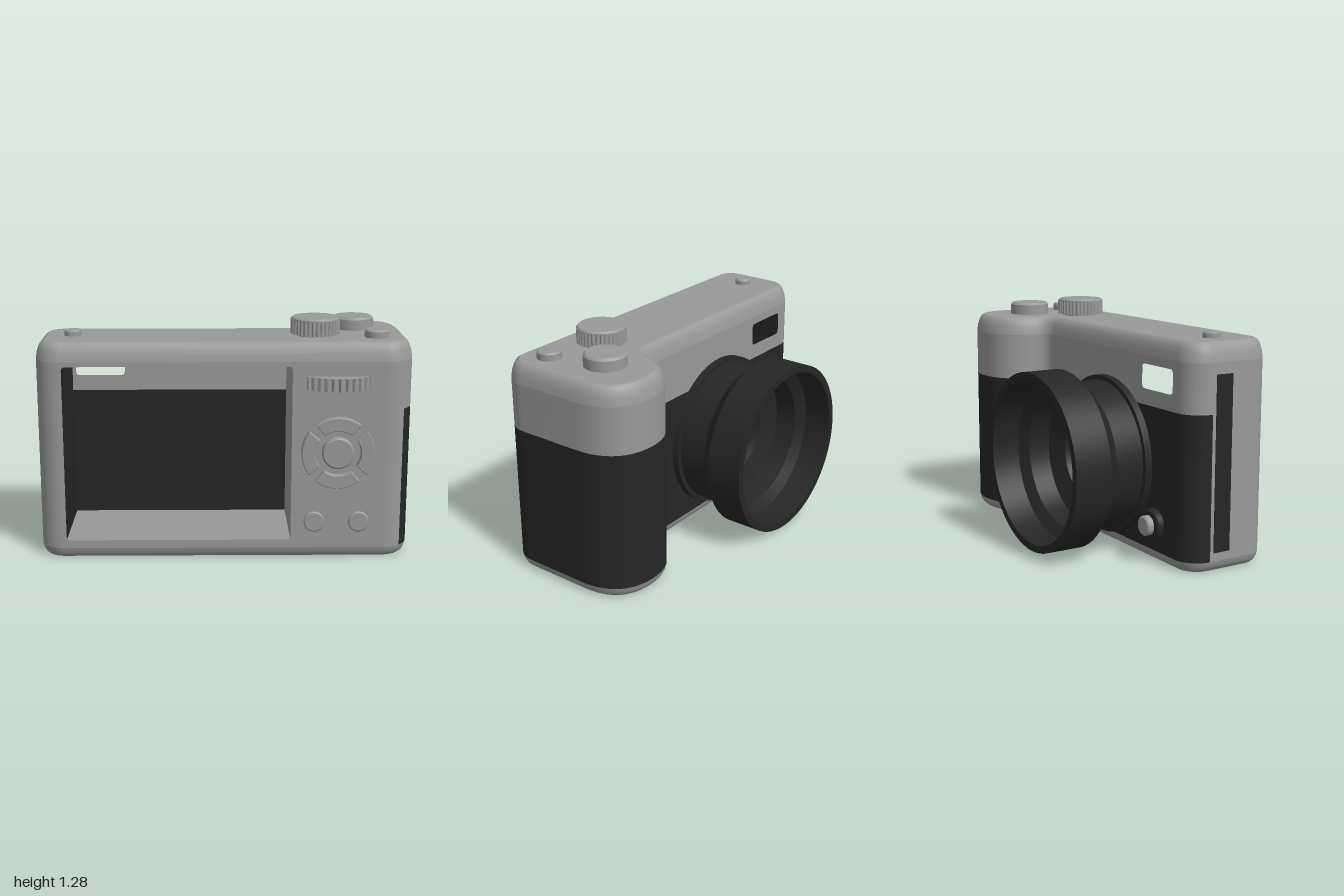
import * as THREE from 'three';
import { toCreasedNormals } from 'three/addons/utils/BufferGeometryUtils.js';

export function createModel() {
  const model = new THREE.Group();
  const mat = (name, color) => {
    const m = new THREE.MeshStandardMaterial({ color, side: THREE.DoubleSide });
    m.name = name;
    return m;
  };
  const silver = mat('silver grey', 0x999999);
  const black = mat('black grip', 0x262626);

  const add = (name, geo, material, x = 0, y = 0, z = 0) => {
    const mesh = new THREE.Mesh(geo, material);
    mesh.name = name;
    mesh.position.set(x, y, z);
    model.add(mesh);
    return mesh;
  };

  // Body outline seen from above, as x and z
  const plan = new THREE.Shape();
  plan.moveTo(0.85, 0.455);
  plan.absarc(0.85, 0.305, 0.15, Math.PI / 2, 0, true);
  plan.lineTo(1, -0.06);
  plan.bezierCurveTo(1, -0.24, 0.9, -0.335, 0.74, -0.335);
  plan.bezierCurveTo(0.57, -0.335, 0.5, -0.24, 0.475, -0.13);
  plan.bezierCurveTo(0.46, -0.08, 0.44, -0.05, 0.38, -0.05);
  plan.lineTo(-0.87, -0.05);
  plan.absarc(-0.87, 0.08, 0.13, -Math.PI / 2, -Math.PI, true);
  plan.lineTo(-1, 0.325);
  plan.absarc(-0.87, 0.325, 0.13, Math.PI, Math.PI / 2, true);
  const pts = plan.getPoints(16);
  const n = pts.length;
  const normals = pts.map((p, i) => {
    const t = pts[(i + 1) % n].clone().sub(pts[(i + n - 1) % n]).normalize();
    return new THREE.Vector2(-t.y, t.x);
  });
  const inset = (i, d) => pts[i % n].clone().addScaledVector(normals[i % n], -d);

  // Wall following the outline from point a to point b, through [y, inset] levels
  const wall = (a, b, levels) => {
    const pos = [], index = [], rows = levels.length;
    for (let i = a; i <= b; i++)
      for (const [y, d] of levels) {
        const p = inset(i, d);
        pos.push(p.x, y, p.y);
      }
    for (let i = 0; i < b - a; i++)
      for (let j = 0; j < rows - 1; j++) {
        const q = i * rows + j, r = q + rows;
        index.push(q, r, r + 1, q, r + 1, q + 1);
      }
    const g = new THREE.BufferGeometry();
    g.setAttribute('position', new THREE.Float32BufferAttribute(pos, 3));
    g.setIndex(index);
    return toCreasedNormals(g, 0.7);
  };
  const near = (x, z) => pts.findIndex(p => Math.hypot(p.x - x, p.y - z) < 0.001);
  const LOW = 0.055, MID = 0.82, HIGH = 1.08;
  const gripStart = pts.findIndex(p => p.y < 0.42);
  const gripEnd = near(0.38, -0.05), flatEnd = near(-0.87, -0.05), sideStart = near(-1, 0.08);

  // Rounded top and bottom edges with their caps
  const topEdge = [[HIGH, 0], [1.12, 0.006], [1.15, 0.016], [1.17, 0.028], [1.18, 0.045]];
  const bottomEdge = [[0, 0.03], [0.012, 0.016], [0.03, 0.006], [LOW, 0]];
  add('topEdge', wall(0, n, topEdge), silver);
  add('bottomEdge', wall(0, n, bottomEdge), silver);
  const cap = (d, s) => new THREE.ShapeGeometry(new THREE.Shape(
    pts.map((p, i) => inset(i, d)).map(p => new THREE.Vector2(p.x, s * p.y)))).rotateX(s * Math.PI / 2);
  add('topCover', cap(0.045, -1), silver, 0, 1.18);
  add('basePlate', cap(0.03, 1), silver);

  // Curved walls: silver upper band, black grip wrap below
  add('upperGripWall', wall(0, gripEnd, [[MID, 0], [HIGH, 0]]), silver);
  add('gripCornerWall', wall(0, gripStart, [[LOW, 0], [MID, 0]]), silver);
  add('gripWrap', wall(gripStart, gripEnd, [[LOW, 0], [MID, 0]]), black);
  add('upperSideWall', wall(flatEnd, n - 1, [[MID, 0], [HIGH, 0]]), silver);
  add('sideWrap', wall(flatEnd, sideStart, [[LOW, 0], [MID, 0]]), black);
  add('sideWall', wall(sideStart, n - 1, [[LOW, 0], [MID, 0]]), silver);
  add('sideSlot', new THREE.BoxGeometry(0.006, 0.92, 0.1), black, -1, 0.56, 0.15);

  // Flat panels with their openings
  const rect = (x0, y0, x1, y1, r, Type = THREE.Shape) => {
    const s = new Type();
    s.moveTo(x0 + r, y0);
    s.lineTo(x1 - r, y0);
    s.quadraticCurveTo(x1, y0, x1, y0 + r);
    s.lineTo(x1, y1 - r);
    s.quadraticCurveTo(x1, y1, x1 - r, y1);
    s.lineTo(x0 + r, y1);
    s.quadraticCurveTo(x0, y1, x0, y1 - r);
    s.lineTo(x0, y0 + r);
    s.quadraticCurveTo(x0, y0, x0 + r, y0);
    return s;
  };
  const face = rect(-0.87, LOW, 0.85, HIGH, 0);
  face.holes.push(rect(-0.855, 0.1, 0.355, 1.055, 0.025, THREE.Path));
  add('screenSidePanel', new THREE.ShapeGeometry(face), silver, 0, 0, 0.455);
  const upper = rect(-0.38, MID, 0.87, HIGH, 0);
  upper.holes.push(rect(0.56, 0.905, 0.835, 1.035, 0.025, THREE.Path));
  add('upperLensPanel', new THREE.ShapeGeometry(upper).rotateY(Math.PI), silver, 0, 0, -0.05);
  add('lowerLensPanel', new THREE.ShapeGeometry(rect(-0.38, LOW, 0.87, MID, 0)).rotateY(Math.PI), black, 0, 0, -0.05);

  // Open screen cavity: four inner walls
  const cavity = new THREE.BoxGeometry(1.21, 0.955, 0.503);
  cavity.groups = cavity.groups.slice(0, 4);
  add('screenCavity', cavity, [silver, black, silver, silver], -0.25, 0.5775, 0.203);

  // Lens: stepped barrel and hood, turned about its axis
  const turn = (profile, seg = 64) => toCreasedNormals(
    new THREE.LatheGeometry(profile.map(p => new THREE.Vector2(...p)), seg), 0.5);
  const lens = (name, profile) => add(name, turn(profile).rotateX(-Math.PI / 2), black, -0.225, 0.4925, -0.05);
  lens('lensBarrel', [[0.435, 0], [0.435, 0.04], [0.41, 0.04], [0.41, 0.2], [0.485, 0.28], [0.485, 0.485],
    [0.445, 0.485], [0.435, 0.33], [0.375, 0.29], [0.365, 0.17], [0.25, 0.13], [0.24, 0.09]]);
  lens('frontGlass', [[0.24, 0.09], [0.2, 0.11], [0.14, 0.13], [0.07, 0.142], [0, 0.146]]);

  // Chamfered round knob standing on y = 0
  const knob = (r, h, c = 0.008) => turn([[r, 0], [r, h - c], [r - c, h], [0, h]], 40);
  add('releaseBase', knob(0.085, 0.04).rotateX(-Math.PI / 2), black, -0.69, 0.2, -0.05);
  add('lensRelease', knob(0.053, 0.04).rotateX(-Math.PI / 2), silver, -0.69, 0.2, -0.087);

  // Ribbed wheel, axis along y
  const wheel = (r, h, teeth, depth) => {
    const s = [];
    for (let i = 0; i < teeth * 4; i++) {
      const a = i / (teeth * 4) * Math.PI * 2, q = i % 4 < 2 ? r : r - depth;
      s.push(new THREE.Vector2(Math.cos(a) * q, Math.sin(a) * q));
    }
    return new THREE.ExtrudeGeometry(new THREE.Shape(s), { depth: h, bevelEnabled: false }).rotateX(-Math.PI / 2);
  };

  // Top controls
  add('modeDialStem', knob(0.1, 0.03), silver, 0.49, 1.17, 0.2);
  add('modeDial', wheel(0.134, 0.078, 36, 0.006), silver, 0.49, 1.19, 0.2);
  add('modeDialCap', knob(0.13, 0.02), silver, 0.49, 1.26, 0.2);
  add('shutterButton', knob(0.113, 0.07, 0.012), silver, 0.72, 1.18, -0.025);
  add('powerButton', knob(0.065, 0.042), silver, 0.815, 1.18, 0.27);
  add('flashButton', knob(0.046, 0.032), silver, -0.815, 1.18, 0.2);

  // Thumb wheel
  add('thumbWheel', wheel(0.24, 0.07, 40, 0.012), silver, 0.6, 0.932, 0.29);

  // Four-way pad
  for (let k = 0; k < 4; k++) {
    const mid = k * Math.PI / 2, half = 0.64;
    const s = new THREE.Shape();
    s.absarc(0, 0, 0.19, mid - half, mid + half, false);
    s.absarc(0, 0, 0.125, mid + half - 0.04, mid - half + 0.04, true);
    add('padKey', new THREE.ExtrudeGeometry(s, { depth: 0.032, bevelThickness: 0.006, bevelSize: 0.004,
      bevelSegments: 1, curveSegments: 16 }), silver, 0.6, 0.592, 0.455);
  }
  add('padCentre', knob(0.085, 0.04).rotateX(Math.PI / 2), silver, 0.6, 0.592, 0.455);

  // Lower buttons
  for (const x of [0.48, 0.72])
    add('menuButton', knob(0.056, 0.018, 0.006).rotateX(Math.PI / 2), silver, x, 0.205, 0.455);

  return model;
}
